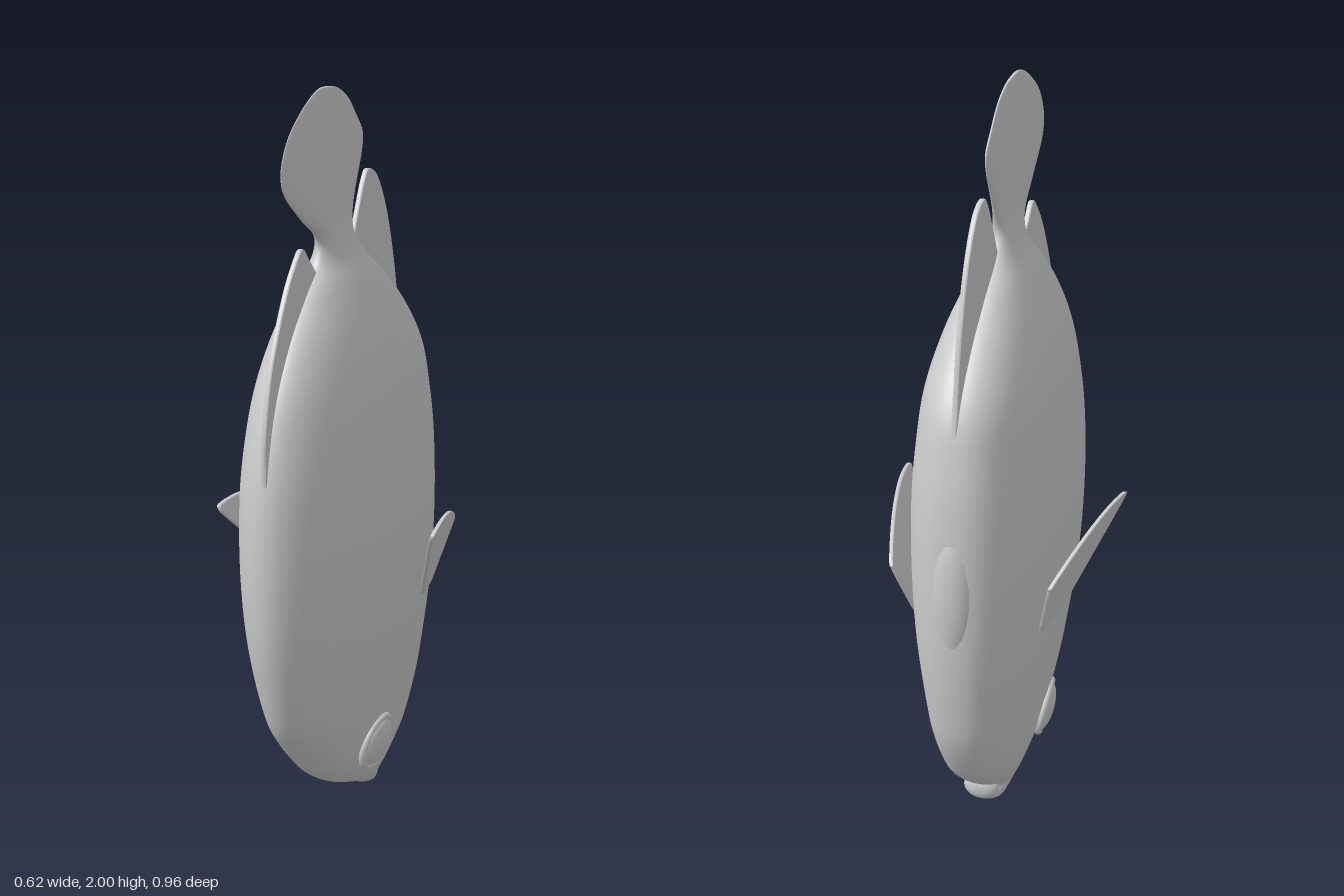
import * as THREE from 'three';

const grey = new THREE.MeshStandardMaterial({ color: 0xcccccc, side: THREE.DoubleSide });

function add(parent, name, geometry) {
  const mesh = new THREE.Mesh(geometry, grey);
  mesh.name = name;
  parent.add(mesh);
  return mesh;
}

// Body and tail stations: [height, belly z, back z, half width]
const stations = [
  [0.005, -0.175, -0.145, 0.02], [0.02, -0.186, -0.12, 0.042], [0.04, -0.188, -0.085, 0.054],
  [0.065, -0.19, -0.015, 0.066], [0.1, -0.245, 0.065, 0.082], [0.15, -0.305, 0.15, 0.1],
  [0.2, -0.35, 0.215, 0.115], [0.3, -0.405, 0.315, 0.135], [0.4, -0.435, 0.385, 0.15],
  [0.6, -0.462, 0.452, 0.175], [0.8, -0.467, 0.478, 0.187], [1.0, -0.46, 0.477, 0.185],
  [1.15, -0.44, 0.452, 0.172], [1.28, -0.405, 0.405, 0.153], [1.4, -0.315, 0.325, 0.12],
  [1.5, -0.2, 0.225, 0.08], [1.57, -0.105, 0.145, 0.046], [1.63, -0.063, 0.14, 0.03],
  [1.69, -0.082, 0.235, 0.021], [1.76, -0.12, 0.33, 0.016], [1.81, -0.146, 0.354, 0.014],
  [1.86, -0.154, 0.34, 0.012], [1.91, -0.11, 0.3, 0.01], [1.96, -0.055, 0.225, 0.008],
  [1.99, 0.01, 0.16, 0.006], [2.0, 0.07, 0.12, 0.004],
];

// Lofted body: rounder on the belly, narrower on the back
function bodyGeometry() {
  const curve = (k) => new THREE.CatmullRomCurve3(
    stations.map((s) => new THREE.Vector3(s[k], s[0], s[3])), false, 'catmullrom', 0.5);
  const belly = curve(1), back = curve(2);
  const rows = 125, sides = 72, pos = [], idx = [];
  for (let i = 0; i <= rows; i++) {
    const b = belly.getPoint(i / rows), t = back.getPoint(i / rows);
    const mid = THREE.MathUtils.lerp(b.x, t.x, 0.47);
    for (let j = 0; j < sides; j++) {
      const a = (j / sides) * Math.PI * 2, c = Math.cos(a), s = Math.sin(a);
      const p = c < 0 ? 2 / 2.4 : 1;
      const z = c > 0 ? mid + (t.x - mid) * c : mid - (mid - b.x) * Math.pow(-c, p);
      pos.push(b.z * Math.sign(s) * Math.pow(Math.abs(s), p), b.y, z);
    }
  }
  for (let i = 0; i < rows; i++) {
    for (let j = 0; j < sides; j++) {
      const a = i * sides + j, b = i * sides + (j + 1) % sides;
      idx.push(a, b, a + sides, b, b + sides, a + sides);
    }
  }
  // End caps at the snout and the tail edge
  for (const row of [0, rows]) {
    const s = stations[row ? stations.length - 1 : 0], centre = pos.length / 3;
    pos.push(0, s[0], (s[1] + s[2]) / 2);
    for (let j = 0; j < sides; j++) {
      const a = row * sides + j, b = row * sides + (j + 1) % sides;
      idx.push(centre, row ? a : b, row ? b : a);
    }
  }
  const g = new THREE.BufferGeometry();
  g.setAttribute('position', new THREE.Float32BufferAttribute(pos, 3));
  g.setIndex(idx);
  g.computeVertexNormals();
  return g;
}

// Thin fin from a smooth outline in (z, y), plus straight root points hidden in the body
function finGeometry(outline, root, thickness) {
  const shape = new THREE.Shape();
  shape.moveTo(...outline[0]);
  shape.splineThru(outline.slice(1).map((p) => new THREE.Vector2(...p)));
  root.forEach((p) => shape.lineTo(...p));
  shape.closePath();
  const bevel = thickness * 0.3;
  const g = new THREE.ExtrudeGeometry(shape, {
    depth: thickness - 2 * bevel, curveSegments: 40, bevelThickness: bevel,
    bevelSize: bevel, bevelOffset: -bevel, bevelSegments: 2,
  });
  g.translate(0, 0, bevel - thickness / 2);
  return g.rotateY(-Math.PI / 2);
}

export function createModel() {
  const fish = new THREE.Group();
  fish.name = 'fish';
  add(fish, 'bodyAndTail', bodyGeometry());

  // Fins along the back and behind the belly
  add(fish, 'dorsalFin', finGeometry(
    [[0.47, 1.07], [0.467, 1.2], [0.425, 1.36], [0.34, 1.52], [0.27, 1.603], [0.238, 1.62], [0.205, 1.59], [0.155, 1.543]],
    [[0.13, 1.5], [0.28, 1.38], [0.38, 1.2]], 0.016));
  add(fish, 'analFin', finGeometry(
    [[-0.08, 1.59], [-0.125, 1.68], [-0.16, 1.74], [-0.19, 1.76], [-0.25, 1.73], [-0.32, 1.62], [-0.38, 1.45], [-0.415, 1.28], [-0.445, 1.1]],
    [[-0.36, 1.15], [-0.3, 1.32], [-0.1, 1.5]], 0.016));

  // Pelvic swelling along the belly
  const pelvis = add(fish, 'pelvicKeel', new THREE.SphereGeometry(1, 32, 24));
  pelvis.scale.set(0.06, 0.2, 0.05);
  pelvis.position.set(0, 0.8, -0.43);

  // Lower lip below the mouth gap
  const lip = add(fish, 'lowerLip', new THREE.SphereGeometry(1, 24, 16));
  lip.scale.set(0.05, 0.04, 0.024);
  lip.position.set(0, 0.078, -0.218);

  for (const side of [1, -1]) {
    const label = side > 0 ? 'left' : 'right';

    // Side fin, leaning outward from its root
    const fin = finGeometry(
      [[-0.25, 0.63], [-0.275, 0.69], [-0.303, 0.765], [-0.298, 0.79], [-0.2, 0.838], [-0.1, 0.87], [0, 0.885], [0.09, 0.88], [0.107, 0.866], [0.08, 0.83], [-0.03, 0.72], [-0.14, 0.612]],
      [[-0.15, 0.605], [-0.24, 0.612]], 0.012);
    const p = fin.attributes.position;
    for (let i = 0; i < p.count; i++) {
      const lean = 0.187 + 0.155 * (p.getZ(i) + 0.14) + 0.311 * (p.getY(i) - 0.61);
      p.setX(i, p.getX(i) + side * lean);
    }
    fin.computeVertexNormals();
    add(fish, label + 'SideFin', fin);

    // Eye: shallow dome inside a raised rim
    const eye = new THREE.Group();
    eye.name = label + 'Eye';
    eye.position.set(side * 0.116, 0.22, 0.01);
    eye.quaternion.setFromUnitVectors(
      new THREE.Vector3(0, 0, 1), new THREE.Vector3(side, -0.2, 0.12).normalize());
    add(eye, 'eyeball', new THREE.SphereGeometry(1, 32, 20)).scale.set(0.071, 0.071, 0.027);
    add(eye, 'eyeRim', new THREE.TorusGeometry(0.074, 0.011, 10, 40));
    fish.add(eye);
  }
  return fish;
}
